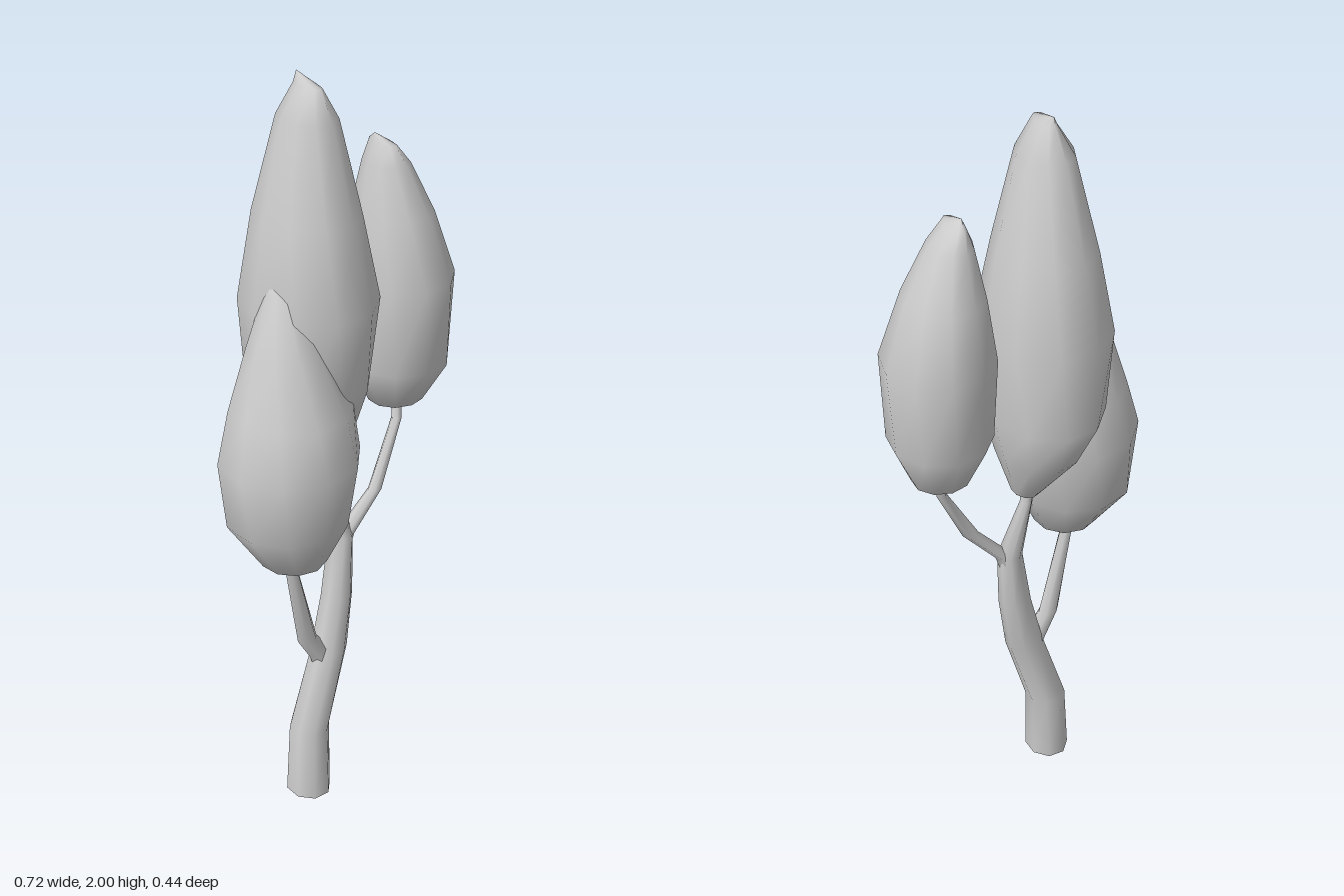
import * as THREE from 'three';

const material = new THREE.MeshStandardMaterial({ color: 0xcccccc });

// Smooth skin over horizontal rings, listed from bottom to top as [y, x, z, radiusX, radiusZ].
// Each ring is turned a little against the one below by twist.
function loft(name, rings, sides, start = 0, twist = 0) {
  const positions = [], index = [];
  rings.forEach(([y, x, z, rx, rz = rx], i) => {
    for (let j = 0; j < sides; j++) {
      const a = start + i * twist + (j / sides) * Math.PI * 2;
      positions.push(x + Math.cos(a) * rx, y, z + Math.sin(a) * rz);
    }
  });
  for (let i = 0; i < rings.length - 1; i++) {
    for (let j = 0; j < sides; j++) {
      const k = (j + 1) % sides;
      const a = i * sides + j, b = i * sides + k;
      const c = a + sides, d = b + sides;
      index.push(a, c, b, b, c, d);
    }
  }
  const geometry = new THREE.BufferGeometry();
  geometry.setAttribute('position', new THREE.Float32BufferAttribute(positions, 3));
  geometry.setIndex(index);
  geometry.computeVertexNormals();
  const mesh = new THREE.Mesh(geometry, material);
  mesh.name = name;
  return mesh;
}

export function createModel() {
  const tree = new THREE.Group();
  tree.name = 'tree';

  // Bent trunk running up into the tall crown
  tree.add(loft('trunk', [
    [0, -0.117, 0.025, 0.059, 0.066],
    [0.2, -0.108, 0.02, 0.055, 0.055],
    [0.42, -0.038, 0.015, 0.053, 0.045],
    [0.58, -0.005, 0.008, 0.044, 0.041],
    [0.75, 0.014, 0.0, 0.033, 0.035],
    [0.93, -0.018, -0.03, 0.016, 0.018],
    [1.08, -0.02, -0.04, 0.014],
  ], 8, Math.PI / 8));

  // Underside of the trunk
  const base = new THREE.Mesh(new THREE.CircleGeometry(1, 8, Math.PI / 8), material);
  base.name = 'trunkBase';
  base.rotation.x = Math.PI / 2;
  base.scale.set(0.059, 0.066, 1);
  base.position.set(-0.117, 0, 0.025);
  tree.add(base);

  // Side branches
  tree.add(loft('leftBranch', [
    [0.7, 0.015, 0.0, 0.024],
    [0.75, 0.032, 0.0, 0.024],
    [0.85, 0.125, 0.005, 0.022, 0.016],
    [1.02, 0.216, -0.02, 0.014],
    [1.12, 0.224, -0.03, 0.012],
  ], 6));
  tree.add(loft('rightBranch', [
    [0.36, -0.045, 0.015, 0.034, 0.03],
    [0.42, -0.07, 0.018, 0.034, 0.028],
    [0.49, -0.118, 0.026, 0.03, 0.022],
    [0.74, -0.18, 0.043, 0.018, 0.016],
    [0.88, -0.188, 0.05, 0.014],
  ], 6));

  // Leaf crowns
  tree.add(loft('tallCrown', [
    [0.95, -0.01, -0.03, 0],
    [0.97, -0.015, -0.03, 0.035, 0.045],
    [1.1, -0.04, -0.045, 0.105, 0.125],
    [1.22, -0.06, -0.04, 0.148, 0.178],
    [1.44, -0.065, -0.025, 0.169, 0.187],
    [1.66, -0.065, -0.03, 0.125, 0.148],
    [1.9, -0.066, -0.024, 0.068, 0.085],
    [1.975, -0.066, -0.022, 0.02, 0.05],
    [2.0, -0.066, -0.065, 0],
  ], 10, 0.2, 0.1));
  tree.add(loft('rightCrown', [
    [0.75, -0.16, 0.05, 0],
    [0.775, -0.18, 0.055, 0.085, 0.085],
    [0.9, -0.193, 0.045, 0.156, 0.163],
    [1.07, -0.182, 0.045, 0.182, 0.18],
    [1.2, -0.172, 0.04, 0.155, 0.155],
    [1.36, -0.183, 0.035, 0.093, 0.1],
    [1.49, -0.183, 0.02, 0.04, 0.05],
    [1.53, -0.2, 0.01, 0],
  ], 10, 0.1, 0.1));
  tree.add(loft('leftCrown', [
    [1.06, 0.23, -0.03, 0],
    [1.08, 0.22, -0.03, 0.075, 0.07],
    [1.2, 0.217, -0.022, 0.131, 0.139],
    [1.43, 0.22, -0.028, 0.14, 0.154],
    [1.6, 0.204, -0.035, 0.099, 0.115],
    [1.73, 0.187, -0.04, 0.053, 0.07],
    [1.78, 0.175, -0.04, 0.02, 0.05],
    [1.8, 0.167, -0.06, 0],
  ], 10, 0.25, 0.1));

  return tree;
}
